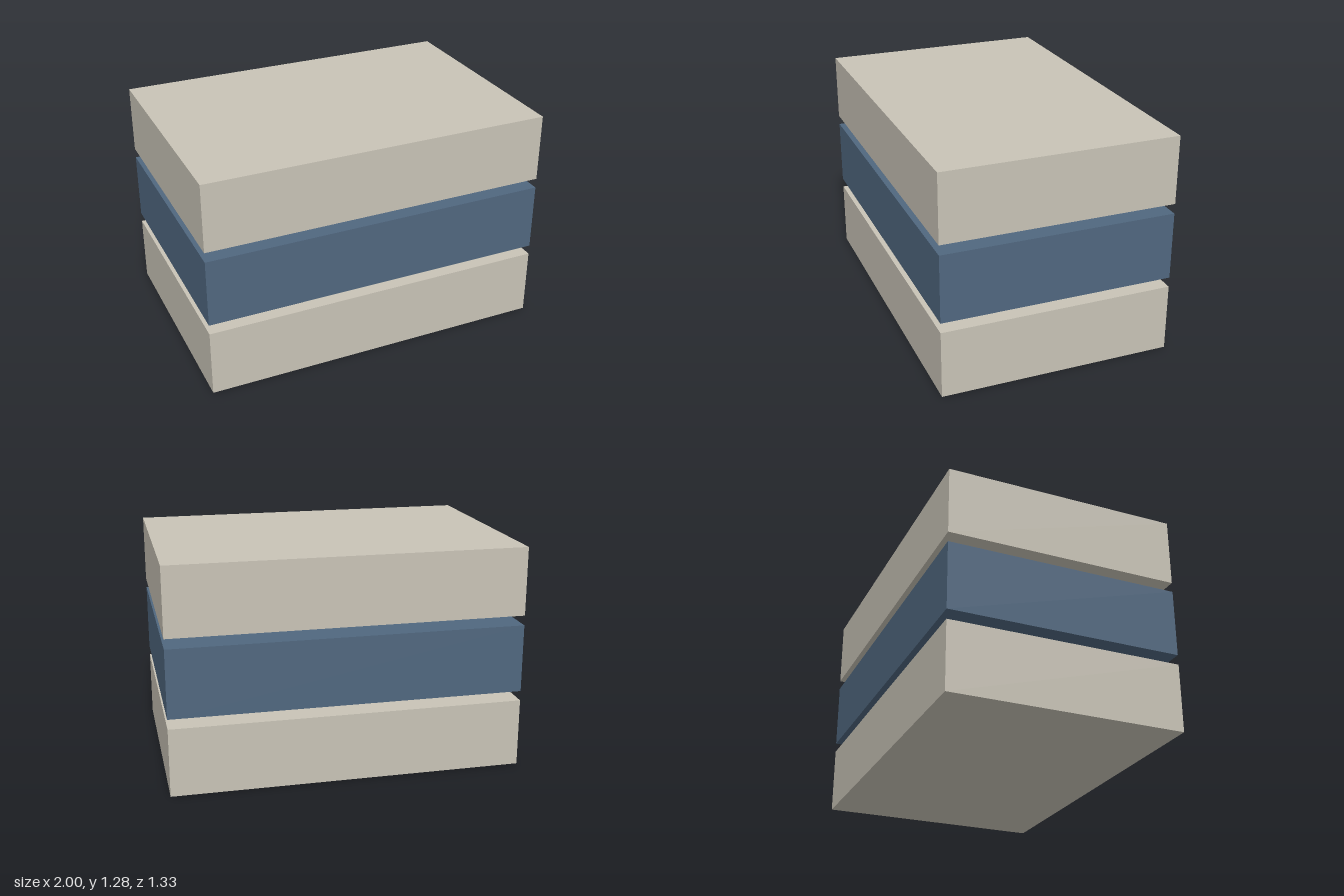
import * as THREE from 'three';

const WIDTH = 2, HEIGHT = 0.39, DEPTH = 1.333, STEP = 0.4465;

export function createModel() {
  const model = new THREE.Group();
  model.name = 'stackedSlabs';

  const beige = new THREE.MeshStandardMaterial({ color: 0xc8c3b6 });
  beige.name = 'beige';
  const slateBlue = new THREE.MeshStandardMaterial({ color: 0x50677f });
  slateBlue.name = 'slateBlue';

  // Three equal slabs stacked with a narrow gap between them
  const slab = new THREE.BoxGeometry(WIDTH, HEIGHT, DEPTH);
  const layers = [
    ['bottomSlab', beige],
    ['middleSlab', slateBlue],
    ['topSlab', beige],
  ];
  layers.forEach(([name, material], i) => {
    const mesh = new THREE.Mesh(slab, material);
    mesh.name = name;
    mesh.position.y = HEIGHT / 2 + i * STEP;
    model.add(mesh);
  });

  return model;
}
